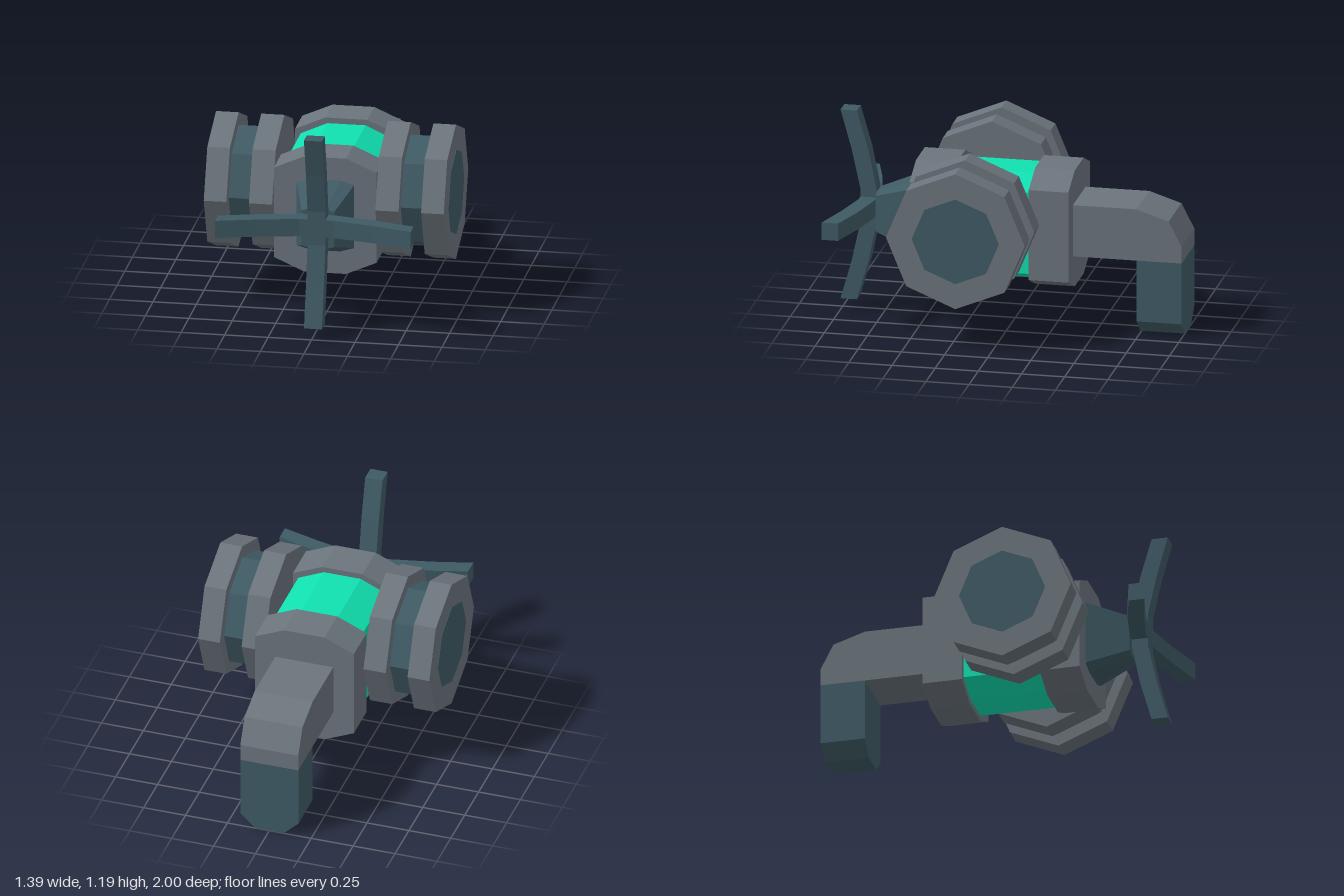
import * as THREE from 'three';

const mat = (color) => new THREE.MeshStandardMaterial({ color, flatShading: true });

export function createModel() {
  const model = new THREE.Group();
  const grey = mat(0x6b747c);
  const dark = mat(0x3f5a64);
  const green = mat(0x10e0b0);

  const add = (name, geometry, material, parent = model) => {
    const mesh = new THREE.Mesh(geometry, material);
    mesh.name = name;
    parent.add(mesh);
    return mesh;
  };

  const extrude = (points, depth) => new THREE.ExtrudeGeometry(
    new THREE.Shape(points.map(([x, y]) => new THREE.Vector2(x, y))),
    { depth, bevelEnabled: false },
  );

  // Side profile in (z, y), given width along x and centred on x = 0
  const sideProfile = (points, width) =>
    extrude(points, width).translate(0, 0, -width / 2).rotateY(-Math.PI / 2);

  // Eight-sided section through (a, b) and (c, d), mirrored both ways
  const section = (a, b, c, d) => [
    [a, b], [c, d], [c, -d], [a, -b], [-a, -b], [-c, -d], [-c, d], [-a, b],
  ];

  // Central body: two collars around a glowing core
  const bodyY = 0.595;
  const collar = section(0.12, 0.345, 0.295, 0.268);
  add('frontCollar', extrude(collar, 0.235), grey).position.set(0, bodyY, 0.315);
  add('rearCollar', extrude(collar, 0.23), grey).position.set(0, bodyY, -0.37);
  add('core', extrude(section(0.11, 0.312, 0.263, 0.242), 0.46), green)
    .position.set(0, bodyY, -0.14);

  // Tapered nose
  const nose = extrude(section(0.085, 0.212, 0.165, 0.188), 0.24);
  const p = nose.attributes.position;
  for (let i = 0; i < p.count; i++) {
    if (p.getZ(i) > 0.12) p.setXY(i, p.getX(i) * 0.57, p.getY(i) * 0.56);
  }
  nose.computeVertexNormals();
  add('nose', nose, dark).position.set(0, bodyY, 0.55);

  // Swept four-blade cross
  const back = [[0.79, 0.095], [0.838, 0.33], [0.905, 0.562]];
  const front = [[1, 0.562], [0.935, 0.33], [0.885, 0.1]];
  const half = [...back, ...front];
  const flipped = half.map(([z, y]) => [z, -y]).reverse();
  const handle = new THREE.Group();
  handle.name = 'crossHandle';
  handle.position.set(0.008, 0.628, 0);
  model.add(handle);
  const blade = sideProfile([...half, ...flipped], 0.103);
  add('verticalBlade', blade, dark, handle);
  add('horizontalBlade', blade.clone().rotateZ(Math.PI / 2), dark, handle);

  // Octagonal side drums: inner flange, groove, outer flange and end disc
  const drum = (name, radius, x0, x1, material, parent) => {
    const g = new THREE.CylinderGeometry(radius, radius, x1 - x0, 8);
    g.rotateZ(-Math.PI / 2).translate((x0 + x1) / 2, 0, 0);
    add(name, g, material, parent);
  };
  for (const side of [1, -1]) {
    const g = new THREE.Group();
    g.name = side > 0 ? 'leftDrum' : 'rightDrum';
    g.position.set(0, 0.658, 0.2);
    g.rotation.y = side > 0 ? 0 : Math.PI;
    drum('innerFlange', 0.402, 0.297, 0.43, grey, g);
    drum('groove', 0.327, 0.43, 0.56, dark, g);
    drum('outerFlange', 0.402, 0.56, 0.69, grey, g);
    drum('endDisc', 0.252, 0.68, 0.693, dark, g);
    model.add(g);
  }

  // Rear pipe bending down into the spout
  add('pipeElbow', sideProfile([
    [-0.36, 0.445], [-0.36, 0.75], [-0.74, 0.75], [-0.925, 0.69],
    [-1, 0.545], [-1, 0.445],
  ], 0.346), grey);
  add('spout', extrude([
    [-0.173, 0.445], [-0.173, 0.083], [-0.085, 0],
    [0.085, 0], [0.173, 0.083], [0.173, 0.445],
  ], 0.26), dark).position.z = -1;

  return model;
}
